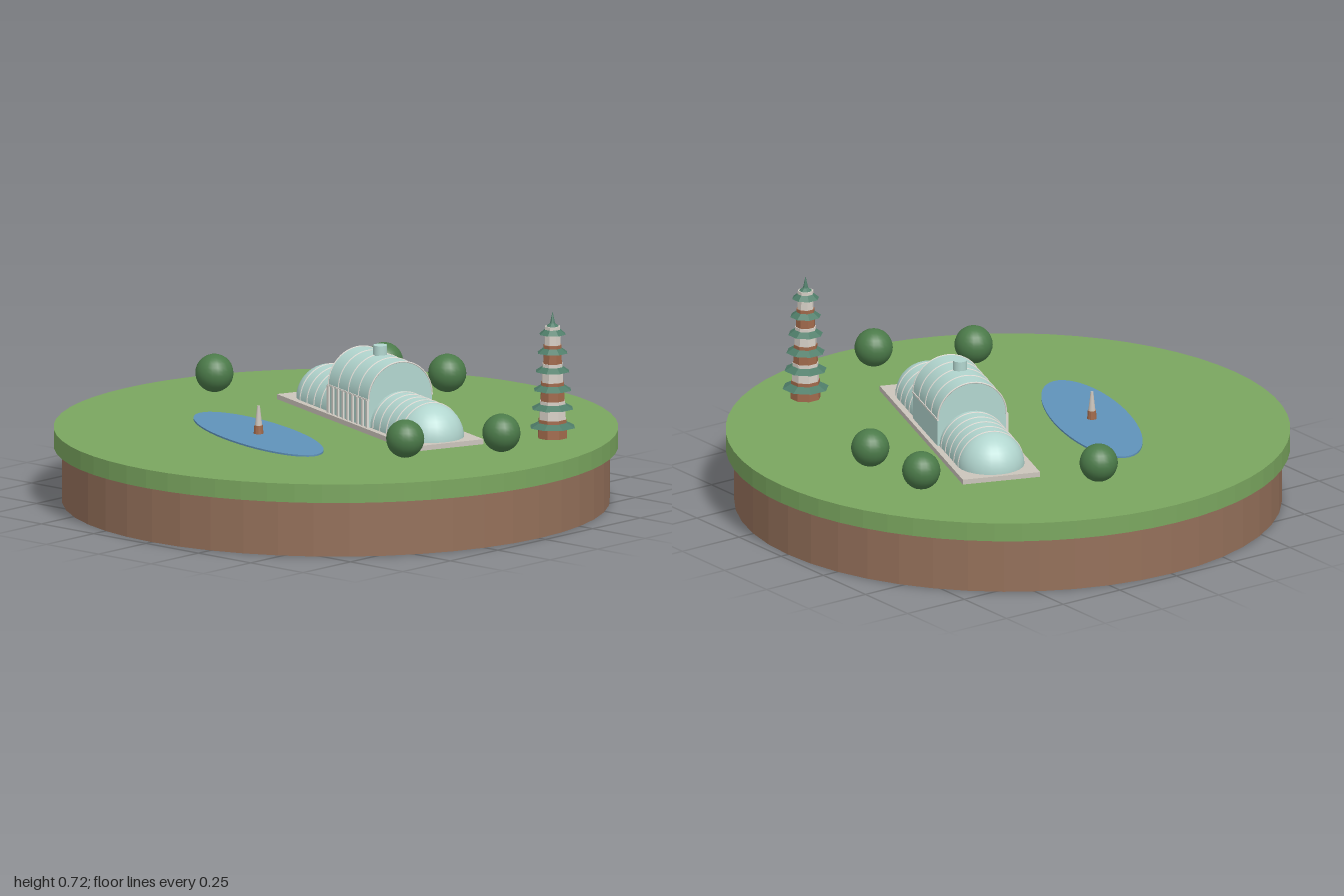
import * as THREE from 'three';

const mat = (name, color, extra = {}) => {
  const m = new THREE.MeshStandardMaterial({ color, ...extra });
  m.name = name;
  return m;
};

export function createModel() {
  const model = new THREE.Group();
  model.name = 'gardenIsland';
  const soil = mat('soil', 0x94705a, { flatShading: true });
  const grass = mat('grass', 0x7aa65f, { flatShading: true });
  const stone = mat('stone', 0xcbc4bb);
  const glass = mat('glass', 0xb2d6cf, { side: THREE.DoubleSide });
  const frame = mat('frame', 0xe0ddd6);
  const water = mat('water', 0x5f92ba);
  const leaf = mat('leaf', 0x4b7a49);
  const roofTile = mat('roofTile', 0x4f7d69, { flatShading: true });
  const brick = mat('brick', 0xa0694b, { flatShading: true });
  const plaster = mat('plaster', 0xd6cfc6, { flatShading: true });

  const add = (parent, name, geo, material, x = 0, y = 0, z = 0) => {
    const mesh = new THREE.Mesh(geo, material);
    mesh.name = name;
    mesh.position.set(x, y, z);
    parent.add(mesh);
    return mesh;
  };
  const group = (name, x, y, z, turn = 0) => {
    const g = new THREE.Group();
    g.name = name;
    g.position.set(x, y, z);
    g.rotation.y = turn;
    model.add(g);
    return g;
  };

  // Ground disc
  const ground = 0.267;
  const tilt = -THREE.MathUtils.degToRad(20);
  add(model, 'soilBase', new THREE.CylinderGeometry(0.97, 0.97, 0.2, 48), soil, 0, 0.1, 0);
  add(model, 'lawn', new THREE.CylinderGeometry(1, 1, 0.067, 64), grass, 0, 0.2335, 0);

  // Glasshouse: long axis along local x
  const house = group('glasshouse', 0.057, ground, -0.17, tilt);
  add(house, 'plinth', new THREE.BoxGeometry(1.03, 0.018, 0.285), stone, 0, 0.009, 0);

  // Half barrel lying along x, arch upward
  const barrel = (name, r, len, x, y) => {
    const geo = new THREE.CylinderGeometry(r, r, len, 24, 1, true, 0, Math.PI);
    geo.rotateZ(Math.PI / 2);
    return add(house, name, geo, glass, x, y, 0);
  };
  const rib = (r, x, y) => {
    const geo = new THREE.TorusGeometry(r, 0.003, 5, 24, Math.PI);
    geo.rotateY(Math.PI / 2);
    add(house, 'rib', geo, frame, x, y, 0);
  };

  const wingR = 0.12, wingEnd = 0.38, hallHalf = 0.152, hallR = 0.127;
  const floor = 0.018, eaves = 0.117;
  for (const s of [-1, 1]) {
    barrel('wing', wingR, wingEnd - hallHalf, s * (wingEnd + hallHalf) / 2, floor);
    const dome = new THREE.SphereGeometry(wingR, 24, 10, 0, Math.PI * 2, 0, Math.PI / 2);
    add(house, 'wingDome', dome, glass, s * wingEnd, floor, 0);
    for (let i = 0; i < 5; i++) rib(wingR, s * (wingEnd - i * 0.052), floor);
    // Gable end of the hall
    const gable = new THREE.CircleGeometry(hallR, 24, 0, Math.PI);
    gable.rotateY(s * Math.PI / 2);
    add(house, 'hallGable', gable, glass, s * hallHalf, eaves, 0);
  }

  // Central hall
  add(house, 'hallWalls', new THREE.BoxGeometry(hallHalf * 2, eaves - floor, hallR * 2), glass,
    0, (eaves + floor) / 2, 0);
  barrel('hallRoof', hallR, hallHalf * 2, 0, eaves);
  for (let i = 0; i < 5; i++) rib(hallR, (i - 2) * hallHalf / 2, eaves);
  for (const s of [-1, 1]) {
    add(house, 'eavesBand', new THREE.BoxGeometry(hallHalf * 2 + 0.006, 0.006, 0.006), frame,
      0, eaves, s * hallR);
  }
  for (let i = 0; i < 9; i++) {
    add(house, 'frontColumn', new THREE.BoxGeometry(0.012, eaves - floor, 0.008), frame,
      (i - 4) * 0.037, (eaves + floor) / 2, hallR + 0.002);
  }
  add(house, 'ventTurret', new THREE.CylinderGeometry(0.025, 0.025, 0.05, 16), glass,
    0, eaves + hallR + 0.008, 0);

  // Pond and fountain
  const pond = group('pond', -0.105, ground, 0.292, tilt);
  const pool = add(pond, 'water', new THREE.CylinderGeometry(1, 1, 0.006, 48), water, 0, 0.003, 0);
  pool.scale.set(0.417, 1, 0.14);
  add(pond, 'fountainBase', new THREE.CylinderGeometry(0.015, 0.018, 0.036, 12), brick, 0, 0.018, 0);
  add(pond, 'fountainSpout', new THREE.CylinderGeometry(0.005, 0.013, 0.07, 12), stone, 0, 0.071, 0);

  // Clipped round trees
  const crown = new THREE.SphereGeometry(0.068, 20, 14);
  for (const [x, z] of [[-0.36, -0.65], [-0.06, -0.652], [-0.67, -0.098], [0.777, -0.015], [0.592, 0.288]]) {
    add(model, 'tree', crown, leaf, x, 0.352, z);
  }

  // Octagonal pagoda with six tapering storeys
  const pagoda = group('pagoda', 0.69, ground, -0.38, Math.PI / 8);
  const step = 0.067;
  for (let i = 0; i < 6; i++) {
    const r = 0.055 - i * 0.005;
    const eave = 0.084 - i * 0.007;
    add(pagoda, 'storey', new THREE.CylinderGeometry(r * 0.95, r, step, 8), i % 2 ? plaster : brick,
      0, (i + 0.5) * step, 0);
    add(pagoda, 'tierRoof', new THREE.CylinderGeometry(r * 0.85, eave, 0.02, 8), roofTile,
      0, (i + 0.72) * step, 0);
  }
  add(pagoda, 'topRoof', new THREE.ConeGeometry(0.026, 0.02, 8), roofTile, 0, 6 * step + 0.008, 0);
  add(pagoda, 'spire', new THREE.ConeGeometry(0.012, 0.052, 8), roofTile, 0, 6 * step + 0.027, 0);

  return model;
}
